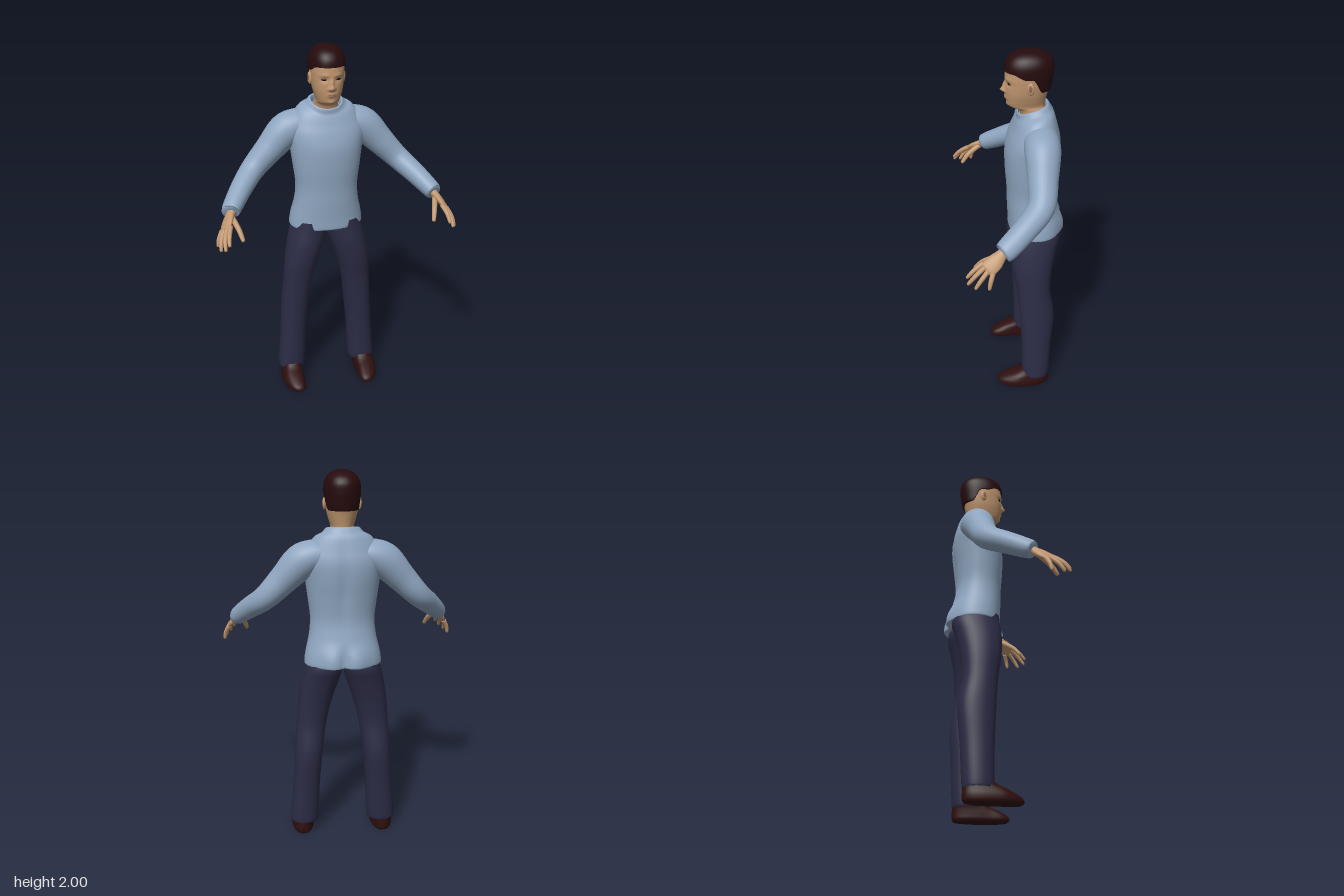
import * as THREE from 'three';

const mat = (name, color, side = THREE.FrontSide) => {
  const m = new THREE.MeshStandardMaterial({ color, side });
  m.name = name;
  return m;
};
const { cos, sin, abs, sign, pow, exp, PI } = Math;
const bump = (x, y, x0, y0, sx, sy) => exp(-(((x - x0) / sx) ** 2) - ((y - y0) / sy) ** 2);
const smooth = THREE.MathUtils.smoothstep;

// Smooth interpolation through rows of numbers, t in 0..1
function sample(rows, t) {
  const f = t * (rows.length - 1);
  const i = Math.min(Math.floor(f), rows.length - 2);
  const k = f - i;
  const at = (n) => rows[THREE.MathUtils.clamp(n, 0, rows.length - 1)];
  return rows[i].map((b, c) => {
    const a = at(i - 1)[c], d = at(i + 1)[c], e = at(i + 2)[c];
    return b + 0.5 * k * (d - a + k * (2 * a - 5 * b + 4 * d - e + k * (3 * (b - d) + e - a)));
  });
}

// Skin over rings of points, closed at both ends
function skin(rings, n, point) {
  const pos = [], idx = [];
  for (let i = 0; i <= rings; i++)
    for (let j = 0; j < n; j++) pos.push(...point(i / rings, (j / n) * 2 * PI));
  const id = (i, j) => i * n + (j % n);
  for (let i = 0; i < rings; i++)
    for (let j = 0; j < n; j++)
      idx.push(id(i, j), id(i + 1, j), id(i, j + 1), id(i, j + 1), id(i + 1, j), id(i + 1, j + 1));
  for (const i of [0, rings]) {
    const c = [0, 0, 0];
    for (let j = 0; j < n; j++) for (let k = 0; k < 3; k++) c[k] += pos[3 * id(i, j) + k] / n;
    const centre = pos.length / 3;
    pos.push(...c);
    for (let j = 0; j < n; j++)
      idx.push(centre, id(i, j + (i ? 1 : 0)), id(i, j + (i ? 0 : 1)));
  }
  const g = new THREE.BufferGeometry();
  g.setAttribute('position', new THREE.Float32BufferAttribute(pos, 3));
  g.setIndex(idx);
  g.computeVertexNormals();
  return g;
}

// Upright form: rows of [y, centre x, half width, front z, back z]
function upright(rows, { n = 40, step = 6, power = 2.2, warp = (p) => p } = {}) {
  const sp = (v) => sign(v) * pow(abs(v), 2 / power);
  return skin((rows.length - 1) * step, n, (t, a) => {
    const [y, cx, rx, zf, zb] = sample(rows, t);
    return warp([cx + rx * sp(cos(a)), y, (zf + zb) / 2 + ((zf - zb) / 2) * sp(sin(a))]);
  });
}

// Limb along a path: rows of [x, y, z, thickness radius, width radius]; s mirrors it
function limb(rows, s, n = 14, step = 5) {
  return skin((rows.length - 1) * step, n, (t, a) => {
    const [x, y, z, ru, rv] = sample(rows, t);
    const p = sample(rows, Math.max(0, t - 0.01)), q = sample(rows, Math.min(1, t + 0.01));
    const d = new THREE.Vector3(s * (q[0] - p[0]), q[1] - p[1], q[2] - p[2]).normalize();
    const u = new THREE.Vector3(s * 0.7, 0.7, 0);
    u.addScaledVector(d, -u.dot(d)).normalize();
    const v = new THREE.Vector3().crossVectors(u, d);
    return new THREE.Vector3(s * x, y, z)
      .addScaledVector(u, ru * cos(a)).addScaledVector(v, rv * sin(a)).toArray();
  });
}

export function createModel() {
  const root = new THREE.Group();
  root.name = 'standingMan';
  const shirt = mat('shirt blue', 0x8fa6c0, THREE.DoubleSide);
  const denim = mat('trouser navy', 0x2c2c46, THREE.DoubleSide);
  const flesh = mat('skin', 0xc0966f);
  const hairMat = mat('hair brown', 0x260b0d, THREE.DoubleSide);
  const leather = mat('shoe brown', 0x2e0f0e);
  const dark = mat('eye dark', 0x17100f);
  const lip = mat('lip', 0x99694f);
  const add = (name, geometry, material) => {
    const m = new THREE.Mesh(geometry, material);
    m.name = name;
    root.add(m);
    return m;
  };
  const blob = (name, material, p, r, rotY = 0) => {
    const m = add(name, new THREE.SphereGeometry(1, 20, 14), material);
    m.position.set(...p);
    m.scale.set(...r);
    m.rotation.y = rotY;
  };

  // Shirt body with tilted neckline, spine groove and seat crease
  add('shirtBody', upright([
    [1.015, 0, 0.185, 0, -0.25], [1.0, 0, 0.205, 0.014, -0.272], [1.06, 0, 0.198, 0.016, -0.268],
    [1.15, 0, 0.178, 0.02, -0.243], [1.24, 0, 0.171, 0.022, -0.228], [1.35, 0, 0.183, 0.03, -0.236],
    [1.46, 0, 0.197, 0.03, -0.25], [1.54, 0, 0.208, 0.012, -0.252], [1.6, 0, 0.192, -0.012, -0.24],
    [1.645, 0, 0.15, -0.024, -0.223], [1.67, 0, 0.108, -0.03, -0.205], [1.695, 0, 0.088, -0.03, -0.19],
    [1.695, 0, 0.078, -0.038, -0.18], [1.665, 0, 0.074, -0.042, -0.178],
  ], {
    n: 72, warp: ([x, y, z]) => {
      const k = smooth(y, 1.6, 1.69);
      const back = smooth(-z, 0.16, 0.24);
      const seat = 1 - smooth(y, 1.03, 1.14);
      const lobes = 0.014 * seat * (bump(abs(x), 0, 0.07, 0, 0.05, 1) - 1.2 * bump(x, 0, 0, 0, 0.022, 1));
      const spine = 0.01 * bump(x, y, 0, 1.42, 0.03, 0.16);
      return [x, y + k * (-(z + 0.11) * 0.33 + 0.012 * (x / 0.09) ** 2), z - back * (lobes - spine)];
    },
  }), shirt);

  // Head with neck, jaw, nose, brow and lips
  add('head', upright([
    [1.6, 0, 0.072, -0.055, -0.185], [1.67, 0, 0.066, -0.047, -0.175], [1.7, 0, 0.062, -0.03, -0.172],
    [1.712, 0, 0.06, 0.006, -0.172], [1.725, 0, 0.062, 0.018, -0.173], [1.75, 0, 0.07, 0.023, -0.177],
    [1.785, 0, 0.079, 0.027, -0.185], [1.83, 0, 0.085, 0.028, -0.197], [1.88, 0, 0.088, 0.028, -0.203],
    [1.92, 0, 0.086, 0.02, -0.2], [1.955, 0, 0.068, -0.01, -0.175], [1.98, 0, 0.03, -0.06, -0.12],
  ], {
    n: 112, step: 8, warp: ([x, y, z]) => {
      if (z < -0.05) return [x, y, z];
      const ax = abs(x);
      return [x, y, z
        + 0.023 * bump(x, y, 0, 1.798, 0.011, 0.013) + 0.013 * bump(x, y, 0, 1.822, 0.009, 0.02)
        + 0.008 * bump(ax, y, 0.014, 1.794, 0.008, 0.008)
        + 0.004 * bump(ax, y, 0.035, 1.862, 0.025, 0.009) - 0.008 * bump(ax, y, 0.036, 1.84, 0.019, 0.013)
        + 0.007 * bump(x, y, 0, 1.762, 0.022, 0.014) + 0.006 * bump(x, y, 0, 1.722, 0.018, 0.01)];
    },
  }), flesh);
  blob('upperLip', lip, [0, 1.765, 0.0265], [0.021, 0.0045, 0.0065]);
  blob('lowerLip', lip, [0, 1.757, 0.026], [0.018, 0.0045, 0.0065]);

  // Hair cap, cut along a hairline that drops behind the ears
  add('hair', upright([
    [1.8, 0, 0.07, 0, -0.18], [1.8, 0, 0.085, 0.02, -0.198], [1.85, 0, 0.092, 0.03, -0.208],
    [1.9, 0, 0.095, 0.034, -0.214], [1.94, 0, 0.09, 0.027, -0.211], [1.972, 0, 0.072, 0.003, -0.187],
    [1.992, 0, 0.042, -0.037, -0.145], [2.0, 0, 0.001, -0.088, -0.09],
  ], {
    n: 72, step: 8, warp: ([x, y, z]) => {
      const line = 1.802 + 0.075 * smooth(z, -0.15, -0.1) + 0.026 * smooth(z, -0.07, 0);
      return [x, Math.min(2, Math.max(y, line)), z];
    },
  }), hairMat);

  for (const s of [1, -1]) {
    const side = s > 0 ? 'left' : 'right';

    blob(side + 'Eye', dark, [s * 0.037, 1.841, 0.0125], [0.015, 0.0055, 0.006], s * 0.3);
    blob(side + 'Ear', flesh, [s * 0.089, 1.83, -0.088], [0.01, 0.033, 0.019], s * -0.3);
    blob(side + 'EarHollow', lip, [s * 0.096, 1.834, -0.086], [0.0045, 0.018, 0.009], s * -0.3);

    // Sleeve
    add(side + 'Sleeve', limb([
      [0.09, 1.58, -0.14, 0.07, 0.08], [0.155, 1.572, -0.138, 0.083, 0.09],
      [0.22, 1.538, -0.135, 0.091, 0.09], [0.305, 1.45, -0.125, 0.077, 0.077],
      [0.4, 1.352, -0.105, 0.064, 0.068], [0.48, 1.28, -0.015, 0.057, 0.061],
      [0.55, 1.21, 0.088, 0.047, 0.054], [0.547, 1.213, 0.084, 0.03, 0.032],
    ], s, 32, 7), shirt);

    // Hand with four fingers and a thumb
    add(side + 'Palm', limb([
      [0.53, 1.228, 0.065, 0.022, 0.028], [0.553, 1.2, 0.103, 0.021, 0.028],
      [0.575, 1.172, 0.14, 0.018, 0.041], [0.592, 1.146, 0.175, 0.013, 0.04],
      [0.597, 1.138, 0.186, 0.004, 0.028],
    ], s, 20), flesh);
    const fingers = {
      Index: [[0.566, 1.168, 0.192], [0.58, 1.136, 0.24], [0.585, 1.1, 0.275]],
      Middle: [[0.585, 1.155, 0.188], [0.602, 1.115, 0.238], [0.605, 1.075, 0.272]],
      Ring: [[0.599, 1.143, 0.173], [0.62, 1.1, 0.212], [0.625, 1.06, 0.238]],
      Pinky: [[0.607, 1.132, 0.152], [0.627, 1.092, 0.166], [0.634, 1.056, 0.173]],
      Thumb: [[0.55, 1.185, 0.125], [0.526, 1.145, 0.19], [0.511, 1.1, 0.23]],
    };
    for (const [name, [a, b, c]] of Object.entries(fingers)) {
      const r = name === 'Thumb' ? 0.014 : 0.0115;
      const tip = c.map((v, i) => v + (c[i] - b[i]) * 0.1);
      add(side + name + 'Finger', limb([
        [...a, r * 1.1, r * 1.1], [...b, r, r], [...c, r * 0.72, r * 0.72], [...tip, 0.001, 0.001],
      ], s, 12), flesh);
    }

    // Trouser leg
    add(side + 'TrouserLeg', upright([
      [0.1, s * 0.215, 0.062, -0.058, -0.19], [0.08, s * 0.215, 0.076, -0.045, -0.2],
      [0.3, s * 0.201, 0.074, -0.04, -0.212], [0.49, s * 0.187, 0.077, -0.03, -0.225],
      [0.65, s * 0.17, 0.081, -0.018, -0.203], [0.785, s * 0.148, 0.092, 0.003, -0.212],
      [0.9, s * 0.12, 0.101, 0.01, -0.235], [0.98, s * 0.1, 0.101, 0.004, -0.255],
      [1.04, s * 0.092, 0.088, 0, -0.24],
    ], { n: 40 }), denim);

    // Shoe, toe turned slightly inward
    add(side + 'Shoe', upright([
      [0, s * 0.224, 0.056, 0.092, -0.19], [0.012, s * 0.224, 0.061, 0.103, -0.198],
      [0.035, s * 0.224, 0.061, 0.09, -0.2], [0.062, s * 0.221, 0.057, 0.04, -0.198],
      [0.088, s * 0.217, 0.054, -0.02, -0.194], [0.12, s * 0.215, 0.05, -0.06, -0.185],
    ], {
      power: 2.4,
      warp: ([x, y, z]) => [x - s * 0.18 * Math.max(0, z), Math.max(0, y), z],
    }), leather);
  }
  return root;
}
